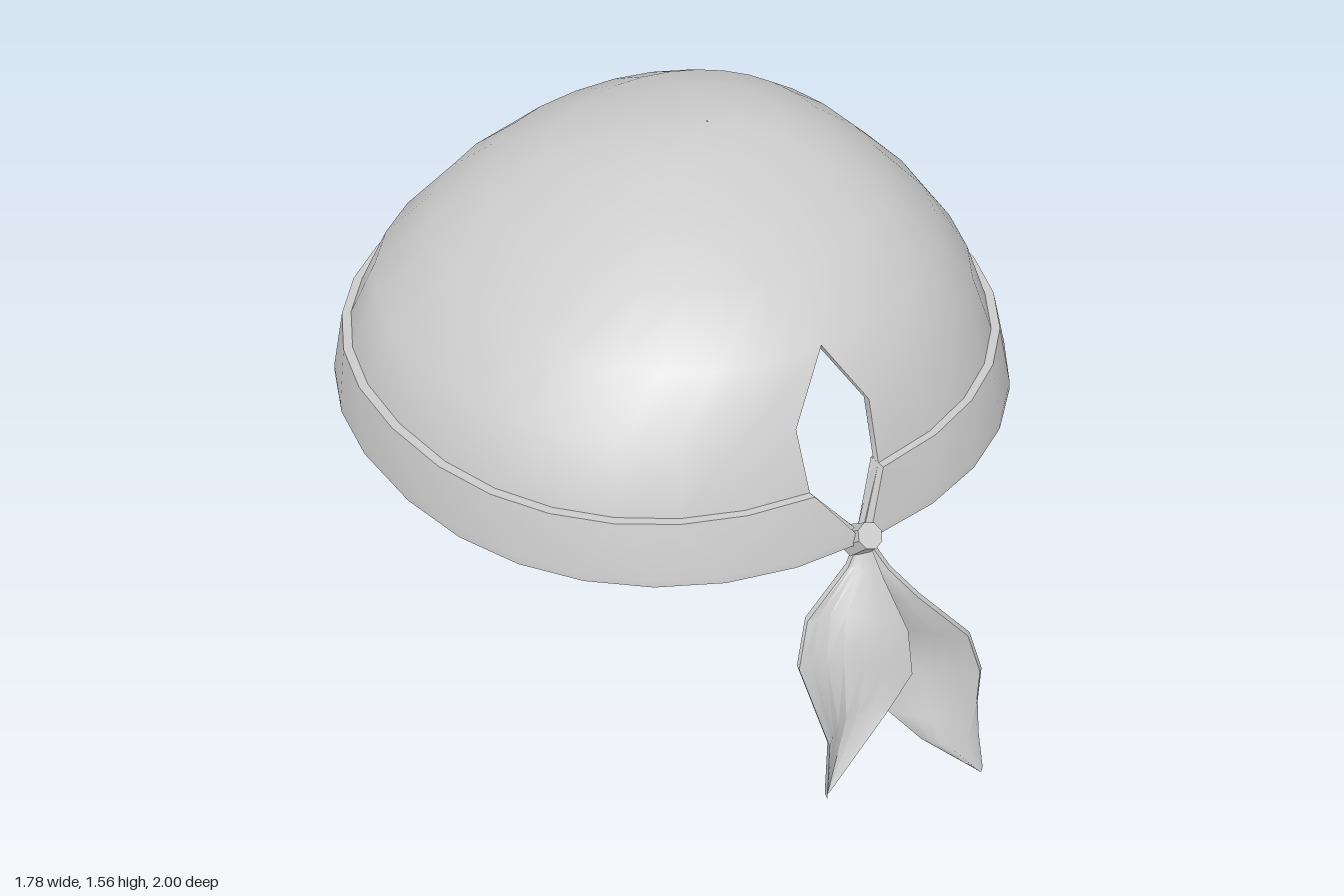
import * as THREE from 'three';
import { toCreasedNormals } from 'three/addons/utils/BufferGeometryUtils.js';

const material = new THREE.MeshStandardMaterial({ color: 0xcccccc });
const SEGMENTS = 30;
const POWER = 2.2; // slightly squared head outline

// Skin a list of closed rings, ordered from bottom to top
function loft(rings, crease = 0.7) {
  const pos = [];
  const normal = new THREE.Vector3();
  const tri = (a, b, c) => {
    THREE.Triangle.getNormal(a, b, c, normal);
    if (normal.lengthSq() > 0.5) for (const p of [a, b, c]) pos.push(p.x, p.y, p.z);
  };
  for (let i = 0; i < rings.length - 1; i++) {
    const lo = rings[i], hi = rings[i + 1];
    for (let k = 0; k < lo.length; k++) {
      const n = (k + 1) % lo.length;
      tri(lo[k], lo[n], hi[n]);
      tri(lo[k], hi[n], hi[k]);
    }
  }
  const geometry = new THREE.BufferGeometry();
  geometry.setAttribute('position', new THREE.Float32BufferAttribute(pos, 3));
  return toCreasedNormals(geometry, crease);
}

// Ring made of a front line and a back line
const wrap = (front, back) => [...front, ...back.slice().reverse()];

// Shell from pairs of lines, closed along its lower and upper ends
function shell(pairs) {
  const last = pairs[pairs.length - 1];
  return loft([
    wrap(pairs[0][1], pairs[0][1]),
    ...pairs.map(([front, back]) => wrap(front, back)),
    wrap(last[1], last[1]),
  ]);
}

// Line running round the head from the right lip of the opening to the left lip
function headLine([y, xMin, xMax, zFront, zBack, lipL, lipR], inset = 0, drop = 0) {
  const cx = (xMin + xMax) / 2, cz = (zFront + zBack) / 2;
  const hx = Math.max((xMax - xMin) / 2 - inset, 0.002);
  const hz = Math.max((zFront - zBack) / 2 - inset, 0.002);
  const lipAngle = (x) => {
    if (x === undefined) return 0;
    const r = (x - cx) / hx;
    return Math.sign(r) * Math.asin(Math.min(1, Math.abs(r) ** (POWER / 2)));
  };
  const start = lipAngle(lipR), end = lipAngle(lipL) + Math.PI * 2;
  const bend = (v) => Math.sign(v) * Math.abs(v) ** (2 / POWER);
  return Array.from({ length: SEGMENTS + 1 }, (_, k) => {
    const a = start + (end - start) * k / SEGMENTS;
    return new THREE.Vector3(cx + hx * bend(Math.sin(a)), y - drop, cz + hz * bend(Math.cos(a)));
  });
}

// Cloth tail between two edge lines, bowed across its width
function tail(left, right, bow, thickness) {
  const ACROSS = 6;
  const pairs = left.map((l, i) => {
    const a = new THREE.Vector3(...l), b = new THREE.Vector3(...right[i]);
    const amount = Math.min(1, a.distanceTo(b) / 0.22);
    const front = [], back = [];
    for (let k = 0; k <= ACROSS; k++) {
      const t = k / ACROSS;
      const p = a.clone().lerp(b, t).addScaledVector(bow, Math.sin(Math.PI * t) * amount);
      front.push(p.clone().addScaledVector(thickness, 0.5));
      back.push(p.clone().addScaledVector(thickness, -0.5));
    }
    return [front, back];
  });
  return shell(pairs.reverse());
}

export function createModel() {
  const model = new THREE.Group();
  const add = (name, geometry) => {
    const mesh = new THREE.Mesh(geometry, material);
    mesh.name = name;
    model.add(mesh);
    return mesh;
  };

  // Cap: height, x range, front z, back z, then the two lips of the opening
  const capRows = [
    [0.825, -0.86, 0.86, 0.765, -0.97, -0.035, -0.03],
    [0.98, -0.84, 0.84, 0.72, -0.935, -0.16, 0.05],
    [1.14, -0.77, 0.78, 0.66, -0.86, -0.16, 0.06],
    [1.29, -0.62, 0.67, 0.57, -0.74, -0.025, -0.025],
    [1.4, -0.46, 0.56, 0.41, -0.62],
    [1.48, -0.29, 0.45, 0.24, -0.47],
    [1.535, -0.13, 0.32, 0.08, -0.29],
    [1.558, 0.02, 0.19, -0.03, -0.14],
    [1.56, 0.1, 0.1, -0.08, -0.08],
  ];
  add('cap', shell(capRows.map((row, i) =>
    [headLine(row), headLine(row, 0.02, 0.02 * i / (capRows.length - 1))])));

  // Folded band, split at the front above the knot
  const bandRows = [
    [0.815, -0.89, 0.89, 0.79, -1.0, -0.035, -0.03],
    [0.835, -0.89, 0.89, 0.787, -0.997, -0.055, -0.02],
    [0.98, -0.865, 0.865, 0.74, -0.955, -0.16, 0.05],
  ];
  add('band', shell(bandRows.map((row) => [headLine(row), headLine(row, 0.05)])));

  // Knot
  const knot = add('knot', toCreasedNormals(
    new THREE.CylinderGeometry(0.036, 0.044, 0.08, 8), 0.5));
  knot.position.set(-0.037, 0.815, 0.775);
  knot.rotation.x = 0.8;

  // Short tail on the right
  add('shortTail', tail(
    [[-0.05, 0.81, 0.77], [-0.08, 0.74, 0.77], [-0.23, 0.66, 0.8], [-0.3, 0.58, 0.86],
      [-0.29, 0.4, 0.98], [-0.295, 0.22, 0.985]],
    [[-0.03, 0.81, 0.79], [-0.035, 0.74, 0.86], [-0.025, 0.63, 0.95], [-0.01, 0.48, 0.96],
      [-0.07, 0.36, 0.94], [-0.28, 0.225, 0.975]],
    new THREE.Vector3(0, 0, -0.05), new THREE.Vector3(-0.005, 0, 0.016)));

  // Long tail on the left
  add('longTail', tail(
    [[-0.045, 0.81, 0.77], [-0.025, 0.74, 0.75], [0.02, 0.62, 0.71], [0.05, 0.5, 0.7],
      [0.05, 0.34, 0.71], [0.04, 0.21, 0.81], [0.1, 0.13, 0.9], [0.232, 0.005, 0.99]],
    [[-0.025, 0.81, 0.79], [0.01, 0.73, 0.83], [0.06, 0.655, 0.89], [0.2, 0.48, 0.94],
      [0.255, 0.32, 0.94], [0.252, 0.2, 0.94], [0.247, 0.1, 0.96], [0.24, 0.0, 0.995]],
    new THREE.Vector3(-0.03, 0, 0.03), new THREE.Vector3(-0.013, 0, 0.009)));

  return model;
}
